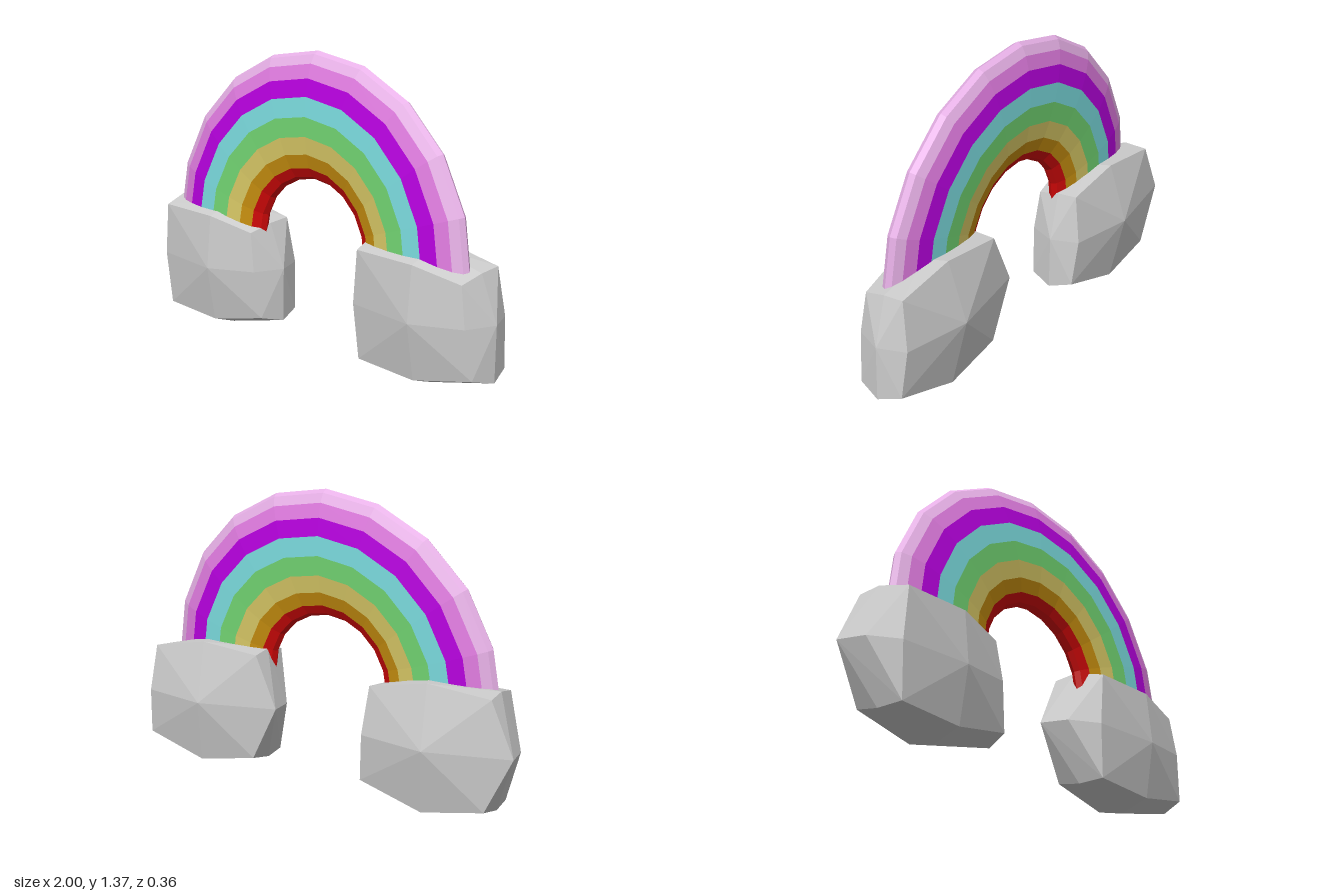
import * as THREE from 'three';
import { ConvexGeometry } from 'three/addons/geometries/ConvexGeometry.js';

// Colour bands from the outer rim inwards: name, colour, start and end step
// around the 20-sided elliptical cross-section (0 = outer rim, 10 = inner rim).
const BANDS = [
  ['pinkBandOuter', 0xe6b0e6, -2, 2],
  ['pinkBand', 0xe07ce0, 2, 3],
  ['purpleBand', 0xb800e0, 3, 4],
  ['blueBand', 0x7cdde0, 4, 5],
  ['greenBand', 0x74d874, 5, 6],
  ['yellowBand', 0xdccc68, 6, 7],
  ['orangeBand', 0xcc9210, 7, 8],
  ['redBand', 0xd40808, 8, 12],
];

const ARC_RADIUS = 0.5925, HALF_WIDTH = 0.2875, HALF_DEPTH = 0.078;

// Half-turn strip of the arch between two steps of the cross-section
function archStrip(from, to) {
  const profile = [];
  for (let i = from; i <= to; i++) {
    const a = (i * Math.PI) / 10;
    profile.push(new THREE.Vector2(ARC_RADIUS + HALF_WIDTH * Math.cos(a), HALF_DEPTH * Math.sin(a)));
  }
  return new THREE.LatheGeometry(profile, 10, -Math.PI / 2, Math.PI).rotateX(-Math.PI / 2);
}

function createRainbow() {
  const rainbow = new THREE.Group();
  rainbow.name = 'rainbow';
  for (const [name, color, from, to] of BANDS) {
    const material = new THREE.MeshStandardMaterial({ color, flatShading: true, side: THREE.DoubleSide });
    const band = new THREE.Group();
    band.name = name;
    band.add(new THREE.Mesh(archStrip(from, to), material));
    // Bands between the rims appear on both the front and the back
    if (to - from === 1) band.add(new THREE.Mesh(archStrip(20 - to, 20 - from), material));
    rainbow.add(band);
  }
  rainbow.position.set(0.013, 0.495, 0.033);
  rainbow.rotation.x = -0.033; // leans slightly backwards
  return rainbow;
}

// Faceted boulder: front fan, middle belt and back fan
function rockGeometry() {
  const points = [
    // front
    [-0.54, 0.31, 0.18],
    [-0.85, 0.565, 0.145], [-0.54, 0.56, 0.155], [-0.31, 0.51, 0.115],
    [-0.28, 0.33, 0.128], [-0.25, 0.11, 0.11], [-0.54, 0.05, 0.135],
    [-0.85, 0.07, 0.13], [-0.87, 0.32, 0.145],
    // belt
    [-0.88, 0.6, 0.0], [-0.54, 0.605, 0.0], [-0.295, 0.54, 0.0],
    [-0.22, 0.33, -0.01], [-0.22, 0.08, -0.005], [-0.55, 0.003, 0.0],
    [-0.87, 0.065, 0.01], [-0.965, 0.34, 0.03],
    // back
    [-0.6, 0.33, -0.182],
    [-0.89, 0.59, -0.105], [-0.58, 0.61, -0.105], [-0.29, 0.55, -0.105],
    [-0.27, 0.33, -0.138], [-0.25, 0.11, -0.115], [-0.57, 0.03, -0.122],
    [-0.87, 0.09, -0.11], [-1.0, 0.35, -0.105],
  ];
  return new ConvexGeometry(points.map((p) => new THREE.Vector3(...p)));
}

export function createModel() {
  const model = new THREE.Group();
  model.name = 'rainbowOnRocks';
  model.add(createRainbow());

  // Two identical rocks hide the ends of the arch
  const stone = new THREE.MeshStandardMaterial({ color: 0xcccccc, flatShading: true });
  const geometry = rockGeometry();
  for (const [name, x] of [['rightRock', 0], ['leftRock', 1.22]]) {
    const rock = new THREE.Mesh(geometry, stone);
    rock.name = name;
    rock.position.x = x;
    model.add(rock);
  }
  return model;
}
